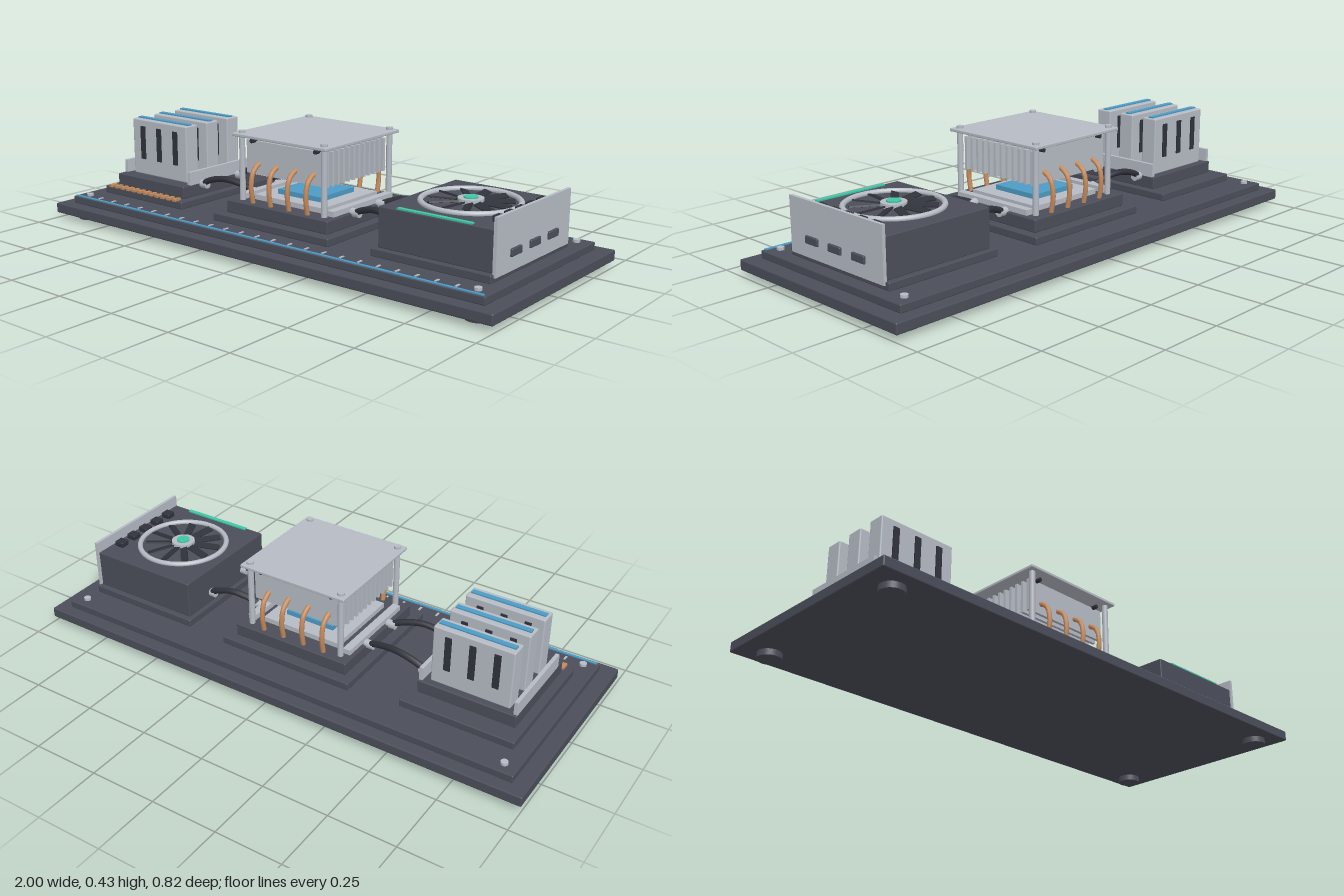
import * as THREE from 'three';
import { RoundedBoxGeometry } from 'three/addons/geometries/RoundedBoxGeometry.js';

const mat = (name, color) => {
  const m = new THREE.MeshStandardMaterial({ color });
  m.name = name;
  return m;
};

export function createModel() {
  const slate = mat('slate', 0x4b4e5a);
  const black = mat('black', 0x30323b);
  const silver = mat('silver', 0xb6bbc4);
  const copper = mat('copper', 0xc48a5c);
  const blue = mat('blue', 0x4d9cc6);
  const teal = mat('teal', 0x3fc6a6);
  const root = new THREE.Group();

  const group = (name, x = 0, parent = root) => {
    const g = new THREE.Group();
    g.name = name;
    g.position.x = x;
    parent.add(g);
    return g;
  };
  const add = (parent, name, geo, m, x, y, z) => {
    const mesh = new THREE.Mesh(geo, m);
    mesh.name = name;
    mesh.position.set(x, y, z);
    parent.add(mesh);
    return mesh;
  };
  // box given by centre x, centre z, bottom, top, width and depth
  const box = (p, name, m, x, z, y0, y1, w, d) =>
    add(p, name, new THREE.BoxGeometry(w, y1 - y0, d), m, x, (y0 + y1) / 2, z);
  const slab = (p, name, m, x, z, y0, y1, w, d, r = 0.004) =>
    add(p, name, new RoundedBoxGeometry(w, y1 - y0, d, 2, r), m, x, (y0 + y1) / 2, z);
  const rod = (p, name, m, x, z, y0, y1, r, seg = 20) =>
    add(p, name, new THREE.CylinderGeometry(r, r, y1 - y0, seg), m, x, (y0 + y1) / 2, z);
  const tube = (p, name, m, pts, r) => {
    const path = new THREE.CatmullRomCurve3(pts.map(a => new THREE.Vector3(...a)));
    return add(p, name, new THREE.TubeGeometry(path, 32, r, 10), m, 0, 0, 0);
  };
  const corners = (x, z, fn) => [-1, 1].forEach(i => [-1, 1].forEach(j => fn(i * x, j * z)));

  // Stepped base with feet, screws and a marked front edge
  const base = group('base');
  slab(base, 'baseSlab', slate, 0, 0, 0.022, 0.061, 2, 0.82, 0.005);
  slab(base, 'upperSlab', slate, 0, 0, 0.061, 0.09, 1.89, 0.728);
  corners(0.9, 0.324, (x, z) => rod(base, 'foot', slate, x, z, 0, 0.023, 0.043, 28));
  corners(0.895, 0.322, (x, z) => rod(base, 'cornerScrew', silver, x, z, 0.089, 0.1, 0.013));
  box(base, 'frontLightStrip', blue, 0, 0.355, 0.089, 0.094, 1.87, 0.01);
  for (let i = -11; i <= 11; i++)
    box(base, 'tickMark', silver, i * 0.075, 0.328, 0.089, 0.093, 0.007, 0.022);

  // Module of three finned cards on the right-hand end
  const cards = group('cardModule', -0.675);
  slab(cards, 'cardPad', slate, 0, 0, 0.089, 0.118, 0.43, 0.49);
  slab(cards, 'cardSocket', slate, 0, 0.015, 0.117, 0.165, 0.37, 0.375);
  for (const x of [-0.177, 0.177])
    box(cards, 'sideBracket', silver, x, 0, 0.15, 0.215, 0.014, 0.33);
  for (const z of [-0.115, 0, 0.115]) {
    slab(cards, 'card', silver, 0, z, 0.164, 0.386, 0.298, 0.064, 0.005);
    box(cards, 'cardLight', blue, 0, z, 0.384, 0.391, 0.28, 0.02);
    for (const x of [-0.09, 0, 0.09])
      box(cards, 'cardSlot', black, x, z, 0.228, 0.36, 0.024, 0.073);
  }
  for (let i = 0; i < 12; i++) {
    const x = (i - 5.5) * 0.0325;
    box(cards, 'contactPin', copper, x, 0.235, 0.117, 0.127, 0.016, 0.032);
  }

  // Central tower cooler: chip, fins, heat pipes, posts and lid
  const cooler = group('coolerModule');
  slab(cooler, 'coolerPad', slate, 0, 0, 0.089, 0.118, 0.54, 0.54);
  slab(cooler, 'coolerSocket', slate, 0, 0, 0.117, 0.165, 0.47, 0.46);
  box(cooler, 'chipCarrier', silver, 0, 0, 0.164, 0.184, 0.32, 0.32);
  box(cooler, 'chip', blue, 0, 0, 0.183, 0.202, 0.2, 0.2);
  for (const s of [-1, 1]) {
    box(cooler, 'sideClip', silver, s * 0.205, 0, 0.164, 0.185, 0.03, 0.35);
    const rail = add(cooler, 'finRail', new THREE.CylinderGeometry(0.008, 0.008, 0.38, 12),
      black, s * 0.148, 0.389, 0);
    rail.rotation.x = Math.PI / 2;
  }
  for (let i = 0; i < 12; i++)
    box(cooler, 'fin', silver, 0, (i - 5.5) * 0.03, 0.264, 0.388, 0.375, 0.011);
  for (const x of [-0.128, -0.043, 0.043, 0.128])
    tube(cooler, 'heatPipe', copper, [[x, 0.16, 0.205], [x, 0.23, 0.215], [x, 0.285, 0.2],
      [x, 0.312, 0.15], [x, 0.328, 0.07], [x, 0.33, 0], [x, 0.328, -0.07],
      [x, 0.312, -0.15], [x, 0.285, -0.2], [x, 0.23, -0.215], [x, 0.16, -0.205]], 0.009);
  slab(cooler, 'lid', silver, 0, 0, 0.404, 0.416, 0.435, 0.435, 0.003);
  corners(0.191, 0.191, (x, z) => {
    rod(cooler, 'post', silver, x, z, 0.16, 0.405, 0.011);
    rod(cooler, 'lidScrew', silver, x, z, 0.415, 0.425, 0.013);
  });

  // Fan box with end plate, ports and buttons
  const fanBox = group('fanModule', 0.663);
  slab(fanBox, 'fanPad', slate, 0.005, 0, 0.089, 0.118, 0.46, 0.51);
  slab(fanBox, 'fanHousing', slate, 0.01, 0, 0.117, 0.26, 0.438, 0.47);
  box(fanBox, 'endPlate', silver, 0.236, 0, 0.106, 0.301, 0.012, 0.478);
  for (const z of [-0.121, 0, 0.121])
    slab(fanBox, 'port', slate, 0.24, z, 0.155, 0.182, 0.02, 0.065);
  for (let i = -2; i <= 2; i++)
    slab(fanBox, 'button', black, 0.194, i * 0.07, 0.258, 0.28, 0.038, 0.038);
  box(fanBox, 'statusLight', teal, 0.005, 0.224, 0.258, 0.265, 0.285, 0.016);

  // Fan: ring, blades and hub
  const fan = group('fan', 0, fanBox);
  const ring = add(fan, 'fanRing', new THREE.TorusGeometry(0.168, 0.01, 10, 56), silver, 0, 0.264, 0);
  ring.rotation.x = Math.PI / 2;
  const blades = 11;
  for (let i = 0; i < blades; i++) {
    const arm = new THREE.Group();
    arm.name = 'fanBlade';
    arm.rotation.y = (i / blades) * Math.PI * 2;
    fan.add(arm);
    const blade = add(arm, 'blade', new THREE.BoxGeometry(0.1, 0.006, 0.028), black, 0.097, 0.265, 0);
    blade.rotation.x = 0.3;
  }
  rod(fan, 'fanHub', silver, 0, 0, 0.258, 0.276, 0.045, 32);
  rod(fan, 'hubCap', teal, 0, 0, 0.275, 0.281, 0.025, 24);

  // Hoses joining the modules, with fittings at both ends
  const hoses = group('hoses');
  const fitting = (x, y, z) => {
    const f = add(hoses, 'hoseFitting', new THREE.CylinderGeometry(0.016, 0.016, 0.035, 16), silver, x, y, z);
    f.rotation.z = Math.PI / 2;
  };
  for (const side of [-1, 1]) for (const s of [-1, 1]) {
    const end = side < 0 ? 0.49 : 0.46;
    const mid = (0.235 + end) / 2;
    tube(hoses, 'hose', black, [[side * 0.23, 0.16, s * 0.075], [side * 0.27, 0.179, s * 0.083],
      [side * mid, 0.197, s * 0.1], [side * (end - 0.04), 0.179, s * 0.104],
      [side * end, 0.155, s * 0.1]], 0.012);
    fitting(side * 0.243, 0.165, s * 0.077);
    fitting(side * (end - 0.012), 0.16, s * 0.1);
  }
  return root;
}
